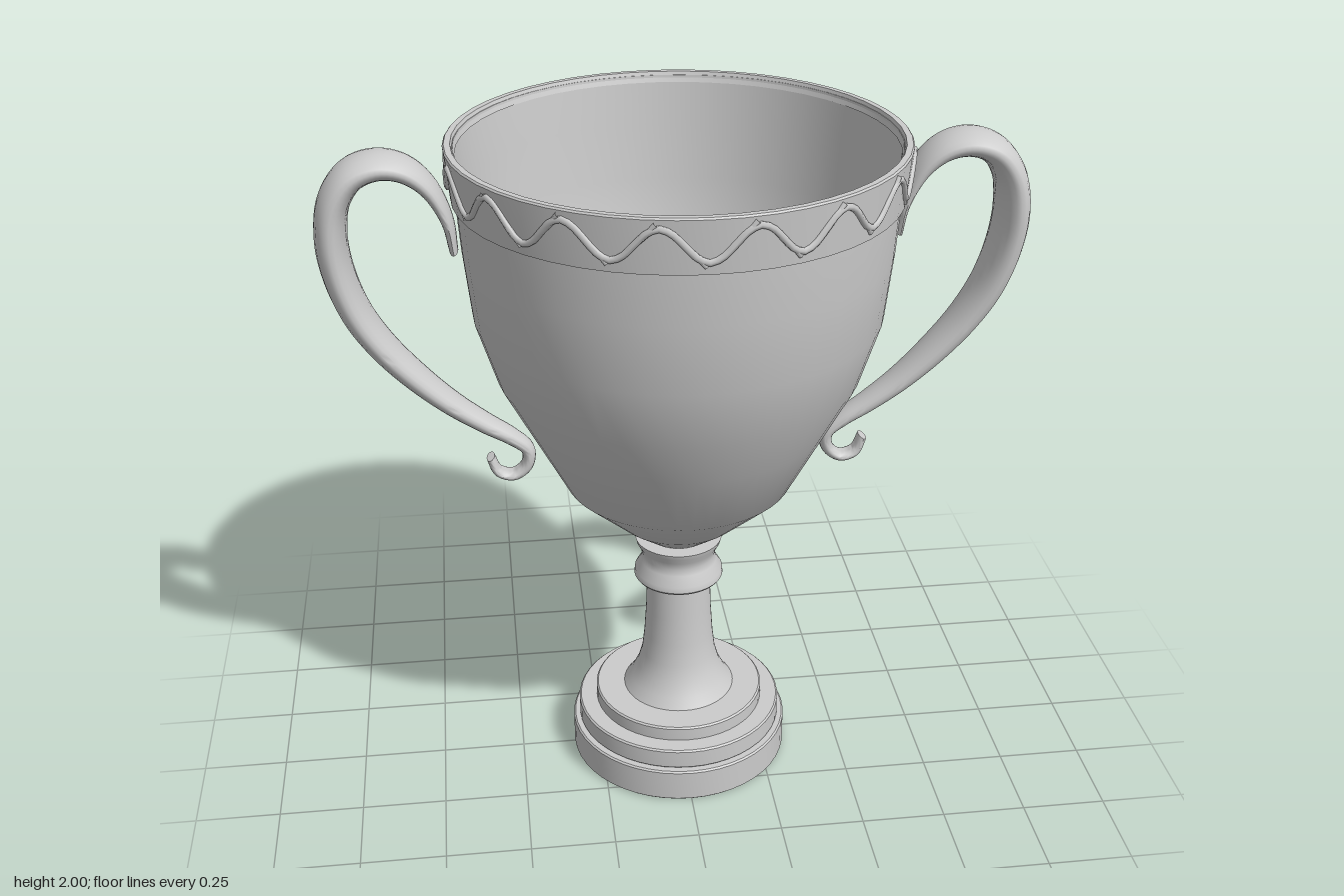
import * as THREE from 'three';
import { toCreasedNormals } from 'three/addons/utils/BufferGeometryUtils.js';

const grey = new THREE.MeshStandardMaterial({ color: 0xcccccc });

function addMesh(parent, name, geometry) {
  const mesh = new THREE.Mesh(geometry, grey);
  mesh.name = name;
  parent.add(mesh);
  return mesh;
}

// Turned part from [radius, height] pairs, outside listed upwards
function turned(points, segments = 48) {
  const profile = points.map(([r, y]) => new THREE.Vector2(r, y));
  return toCreasedNormals(new THREE.LatheGeometry(profile, segments), 0.6);
}

// Elliptical section swept along a path in the xy plane.
// Each station: x, y, half thickness in the plane, half width along z.
function sweptHandle(stations, steps = 90, sides = 20) {
  const path = new THREE.CatmullRomCurve3(stations.map(([x, y]) => new THREE.Vector3(x, y, 0)));
  const size = new THREE.CatmullRomCurve3(stations.map(([, , t, w]) => new THREE.Vector3(t, w, 0)));
  const position = [], index = [];
  for (let i = 0; i <= steps; i++) {
    const u = i / steps;
    const p = path.getPoint(u), t = path.getTangent(u), s = size.getPoint(u);
    for (let j = 0; j < sides; j++) {
      const a = (j / sides) * Math.PI * 2;
      const n = Math.cos(a) * s.x;
      position.push(p.x - t.y * n, p.y + t.x * n, Math.sin(a) * s.y);
    }
  }
  for (let i = 0; i < steps; i++) {
    for (let j = 0; j < sides; j++) {
      const k = (j + 1) % sides;
      const a = i * sides + j, b = i * sides + k, c = a + sides, d = b + sides;
      index.push(a, b, c, b, d, c);
    }
  }
  // End caps
  const last = steps * sides;
  for (let j = 1; j < sides - 1; j++) {
    index.push(0, j + 1, j, last, last + j, last + j + 1);
  }
  const g = new THREE.BufferGeometry();
  g.setAttribute('position', new THREE.Float32BufferAttribute(position, 3));
  g.setIndex(index);
  return toCreasedNormals(g, 0.9);
}

// Point on the rim band at a given angle and height
function onBand(angle, y) {
  const r = 0.618 + (y - 1.85) * 0.09;
  return new THREE.Vector3(Math.sin(angle) * r, y, Math.cos(angle) * r);
}

export function createModel() {
  const cup = new THREE.Group();
  cup.name = 'trophyCup';

  // Stepped base
  addMesh(cup, 'base', turned([
    [0, 0], [0.33, 0], [0.335, 0.005], [0.335, 0.1], [0.33, 0.105],
    [0.31, 0.105], [0.315, 0.11], [0.315, 0.165], [0.31, 0.17],
    [0.26, 0.17], [0.26, 0.21], [0.255, 0.215], [0, 0.215],
  ]));

  // Flared stem
  addMesh(cup, 'stem', turned([
    [0.175, 0.21], [0.15, 0.245], [0.128, 0.29], [0.114, 0.34], [0.106, 0.41],
    [0.1, 0.5], [0.096, 0.62],
  ]));

  // Waisted collar
  addMesh(cup, 'collar', turned([
    [0, 0.615], [0.13, 0.615], [0.135, 0.622], [0.133, 0.64], [0.115, 0.67],
    [0.11, 0.69], [0.116, 0.715], [0.127, 0.735], [0.131, 0.75], [0, 0.75],
  ]));

  // Hollow bowl, outside then inside
  addMesh(cup, 'bowl', turned([
    [0, 0.74], [0.08, 0.745], [0.185, 0.825], [0.335, 0.963], [0.445, 1.175],
    [0.52, 1.32], [0.577, 1.505], [0.597, 1.7], [0.607, 1.85], [0.612, 1.99],
    [0.605, 1.99], [0.59, 1.85], [0.575, 1.68], [0.552, 1.505], [0.495, 1.32],
    [0.42, 1.175], [0.31, 0.98], [0.17, 0.86], [0.08, 0.81], [0, 0.8],
  ]));

  // Rim band
  addMesh(cup, 'rimBand', turned([
    [0.6, 1.85], [0.618, 1.85], [0.631, 1.995], [0.627, 2], [0.61, 2], [0.6, 1.97],
  ]));

  // Running wave around the band, with a short tendril leaving each trough and crest
  const waves = 16, mid = 1.928, height = 0.045;
  const ring = [];
  for (let i = 0; i < waves * 8; i++) {
    const a = (i / (waves * 8)) * Math.PI * 2;
    ring.push(onBand(a, mid - height * Math.cos(a * waves)));
  }
  const ornament = new THREE.Group();
  ornament.name = 'rimOrnament';
  cup.add(ornament);
  addMesh(ornament, 'wave',
    new THREE.TubeGeometry(new THREE.CatmullRomCurve3(ring, true), waves * 16, 0.01, 6, true));
  for (let i = 0; i < waves * 2; i++) {
    const a = ((i + 0.5) / waves) * Math.PI;
    const up = i % 2 === 0 ? 1 : -1;
    const tendril = new THREE.CatmullRomCurve3([
      onBand(a, mid),
      onBand(a + 0.05, mid + up * 0.03),
      onBand(a + 0.085, mid + up * 0.056),
    ]);
    addMesh(ornament, 'tendril', new THREE.TubeGeometry(tendril, 6, 0.008, 6));
  }

  // Pair of curled handles
  const handle = sweptHandle([
    [0.617, 1.7, 0.012, 0.045], [0.63, 1.79, 0.018, 0.055], [0.675, 1.885, 0.026, 0.066],
    [0.735, 1.937, 0.033, 0.076], [0.805, 1.952, 0.037, 0.085], [0.875, 1.928, 0.041, 0.093],
    [0.925, 1.86, 0.044, 0.098], [0.943, 1.76, 0.045, 0.1], [0.932, 1.65, 0.044, 0.096],
    [0.893, 1.53, 0.042, 0.088], [0.83, 1.425, 0.039, 0.078], [0.745, 1.325, 0.036, 0.067],
    [0.65, 1.235, 0.031, 0.056], [0.56, 1.167, 0.027, 0.046], [0.485, 1.117, 0.023, 0.038],
    [0.442, 1.075, 0.02, 0.033], [0.446, 1.025, 0.018, 0.031], [0.485, 0.994, 0.016, 0.03],
    [0.53, 1.007, 0.015, 0.029], [0.551, 1.055, 0.013, 0.028],
  ]);
  const left = addMesh(cup, 'leftHandle', handle);
  const right = left.clone();
  right.name = 'rightHandle';
  right.rotation.y = Math.PI;
  cup.add(right);

  return cup;
}
